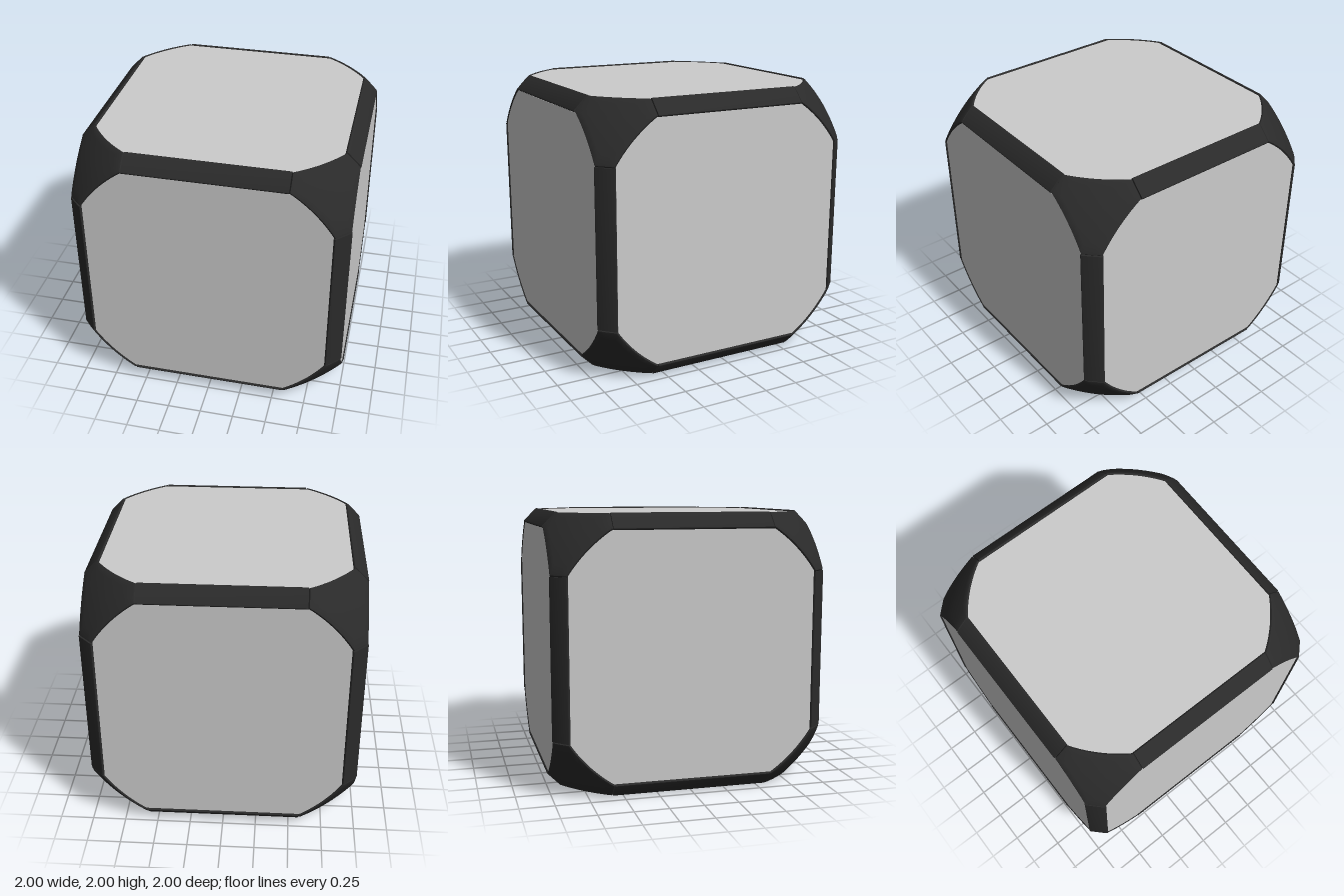
import * as THREE from 'three';
import { toCreasedNormals } from 'three/addons/utils/BufferGeometryUtils.js';

const R = 1.465; // sphere that rounds off the eight corners
const A = 0.58; // where corner caps meet the edge bars
const RIM = 0.885; // half width of a face panel

const darkMat = new THREE.MeshStandardMaterial({ color: 0x2a2a2a });
const panelMat = new THREE.MeshStandardMaterial({ color: 0xcccccc });

// Outline of a corner cap: three arcs on the cube faces joined by three bar ends
function capOutline() {
  const pts = [], rho = Math.sqrt(R * R - 1), n = 14, m = 4;
  const th = Math.atan2(A, 0.9);
  for (let side = 0; side < 3; side++) {
    const run = [];
    for (let i = 0; i <= n; i++) {
      const a = Math.PI / 2 - th + (2 * th - Math.PI / 2) * i / n;
      run.push(new THREE.Vector3(rho * Math.cos(a), rho * Math.sin(a), 1));
    }
    const from = run[n], to = new THREE.Vector3(1, run[0].x, run[0].y);
    for (let i = 1; i < m; i++) run.push(from.clone().lerp(to, i / m).setLength(R));
    for (const p of run) {
      for (let s = 0; s < side; s++) p.set(p.z, p.x, p.y);
      pts.push(p);
    }
  }
  return pts;
}

// Spherical corner cap with a softened rim, a skirt and a closed back
function capGeometry() {
  const outline = capOutline(), n = outline.length;
  const centre = new THREE.Vector3(1, 1, 1).setLength(R);
  const rings = [[0, 1], [0.25, 1], [0.5, 1], [0.75, 1], [0.95, 1], [0.985, 0.998], [1, 0.99], [1, 0.93], [0, 0.93]];
  const pos = [], idx = [];
  for (const [t, s] of rings) {
    for (const b of outline) pos.push(...centre.clone().lerp(b, t).setLength(R * s).toArray());
  }
  for (let k = 0; k < rings.length - 1; k++) {
    for (let j = 0; j < n; j++) {
      const a = k * n + j, b = k * n + (j + 1) % n;
      if (k < rings.length - 2) idx.push(a, a + n, b + n);
      if (k > 0) idx.push(a, b + n, b);
      if (k === rings.length - 2) idx.push(a, a + n, b);
    }
  }
  const g = new THREE.BufferGeometry();
  g.setAttribute('position', new THREE.Float32BufferAttribute(pos, 3));
  g.setIndex(idx);
  return toCreasedNormals(g, 0.7);
}

// Chamfered edge bar running along z
function barGeometry() {
  const half = [[0.955, 0.885], [0.988, 0.885], [0.997, 0.889], [1, 0.897], [0.996, 0.905]];
  const pts = [...half, ...half.map(([x, y]) => [y, x]).reverse()];
  const shape = new THREE.Shape(pts.map(([x, y]) => new THREE.Vector2(x, y)));
  const g = new THREE.ExtrudeGeometry(shape, { depth: 2 * A - 0.012, bevelEnabled: false });
  g.translate(0, 0, -A + 0.006);
  return toCreasedNormals(g, 0.8);
}

// Square panel whose corners follow the arcs of the caps
function panelGeometry() {
  const r = 1.066, th = Math.acos(RIM / r), shape = new THREE.Shape();
  for (let q = 0; q < 4; q++) {
    const a0 = q * Math.PI / 2 + th, a1 = (q + 1) * Math.PI / 2 - th;
    if (q === 0) shape.moveTo(r * Math.cos(a0), r * Math.sin(a0));
    else shape.lineTo(r * Math.cos(a0), r * Math.sin(a0));
    shape.absarc(0, 0, r, a0, a1, false);
  }
  const g = new THREE.ExtrudeGeometry(shape, { depth: 0.04, bevelEnabled: false, curveSegments: 14 });
  g.translate(0, 0, 0.95);
  return g;
}

export function createModel() {
  const model = new THREE.Group();
  const cube = new THREE.Group();
  cube.name = 'cube';
  cube.position.y = 1;
  model.add(cube);
  const Q = Math.PI / 2;

  const add = (name, geo, mat, rx, ry, rz) => {
    const mesh = new THREE.Mesh(geo, mat);
    mesh.name = name;
    mesh.rotation.set(rx, ry, rz);
    cube.add(mesh);
  };

  // Six face panels
  const panel = panelGeometry();
  ['frontPanel', 'leftPanel', 'backPanel', 'rightPanel'].forEach((n, i) => add(n, panel, panelMat, 0, i * Q, 0));
  add('topPanel', panel, panelMat, -Q, 0, 0);
  add('bottomPanel', panel, panelMat, Q, 0, 0);

  // Twelve edge bars, four along each axis
  const bar = barGeometry();
  for (let i = 0; i < 4; i++) {
    add('depthEdgeBar', bar, darkMat, 0, 0, i * Q);
    add('widthEdgeBar', bar, darkMat, 0, Q, i * Q);
    add('uprightEdgeBar', bar, darkMat, Q, 0, i * Q);
  }
  // Turn the width and upright bars about their own length
  cube.children.forEach((m) => {
    const k = m.rotation.z;
    if (m.name === 'widthEdgeBar') m.quaternion.setFromEuler(new THREE.Euler(0, Q, k, 'XYZ'));
    if (m.name === 'uprightEdgeBar') m.quaternion.setFromEuler(new THREE.Euler(Q, 0, k, 'XYZ'));
  });

  // Eight corner caps
  const cap = capGeometry();
  for (let i = 0; i < 4; i++) {
    add('topCornerCap', cap, darkMat, 0, i * Q, 0);
    add('bottomCornerCap', cap, darkMat, Math.PI, i * Q, 0);
  }
  return model;
}
